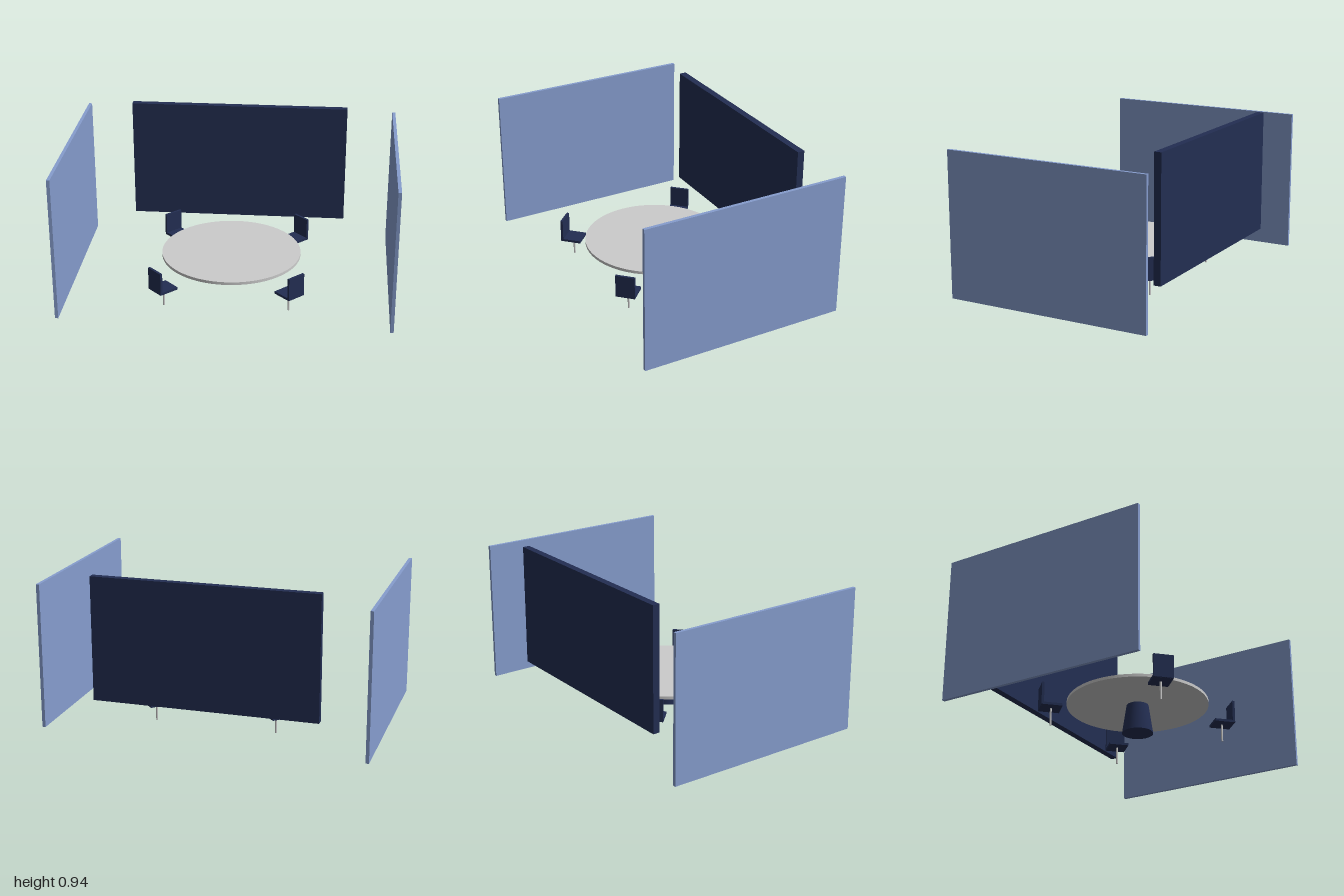
import * as THREE from 'three';

export function createModel() {
  const navy = new THREE.MeshStandardMaterial({ name: 'navy', color: 0x232e52 });
  const paleBlue = new THREE.MeshStandardMaterial({ name: 'paleBlue', color: 0x869dce });
  const lightGrey = new THREE.MeshStandardMaterial({ name: 'lightGrey', color: 0xcccccc });

  const model = new THREE.Group();
  model.name = 'meetingBooth';

  const add = (parent, name, geometry, material, x, y, z) => {
    const mesh = new THREE.Mesh(geometry, material);
    mesh.name = name;
    mesh.position.set(x, y, z);
    parent.add(mesh);
    return mesh;
  };

  // Side partitions and the hanging screen behind the table
  const partition = new THREE.BoxGeometry(0.02, 0.89, 1.29);
  add(model, 'leftPartition', partition, paleBlue, 0.99, 0.445, 0);
  add(model, 'rightPartition', partition, paleBlue, -0.99, 0.445, 0);
  add(model, 'screen', new THREE.BoxGeometry(1.384, 0.764, 0.044), navy, 0, 0.56, -0.547);

  // Round table on a tapered pedestal
  const tableZ = 0.046;
  add(model, 'tableTop', new THREE.CylinderGeometry(0.431, 0.431, 0.018, 64), lightGrey, 0, 0.189, tableZ);
  add(model, 'tablePedestal', new THREE.CylinderGeometry(0.067, 0.094, 0.18, 32), navy, 0, 0.09, tableZ);

  // Four chairs on the diagonals, backs facing outward (local +z)
  const seat = new THREE.BoxGeometry(0.12, 0.015, 0.12);
  const back = new THREE.BoxGeometry(0.12, 0.142, 0.015);
  const leg = new THREE.CylinderGeometry(0.006, 0.006, 0.108, 16);
  for (const sx of [-1, 1]) {
    for (const sz of [-1, 1]) {
      const chair = new THREE.Group();
      chair.name = `${sz > 0 ? 'front' : 'back'}${sx > 0 ? 'Left' : 'Right'}Chair`;
      add(chair, 'seat', seat, navy, 0, 0.115, 0);
      add(chair, 'backrest', back, navy, 0, 0.179, 0.06);
      add(chair, 'leg', leg, lightGrey, 0, 0.054, 0);
      chair.position.set(sx * 0.377, 0, tableZ + sz * 0.377);
      chair.rotation.y = Math.atan2(sx, sz);
      model.add(chair);
    }
  }
  return model;
}
